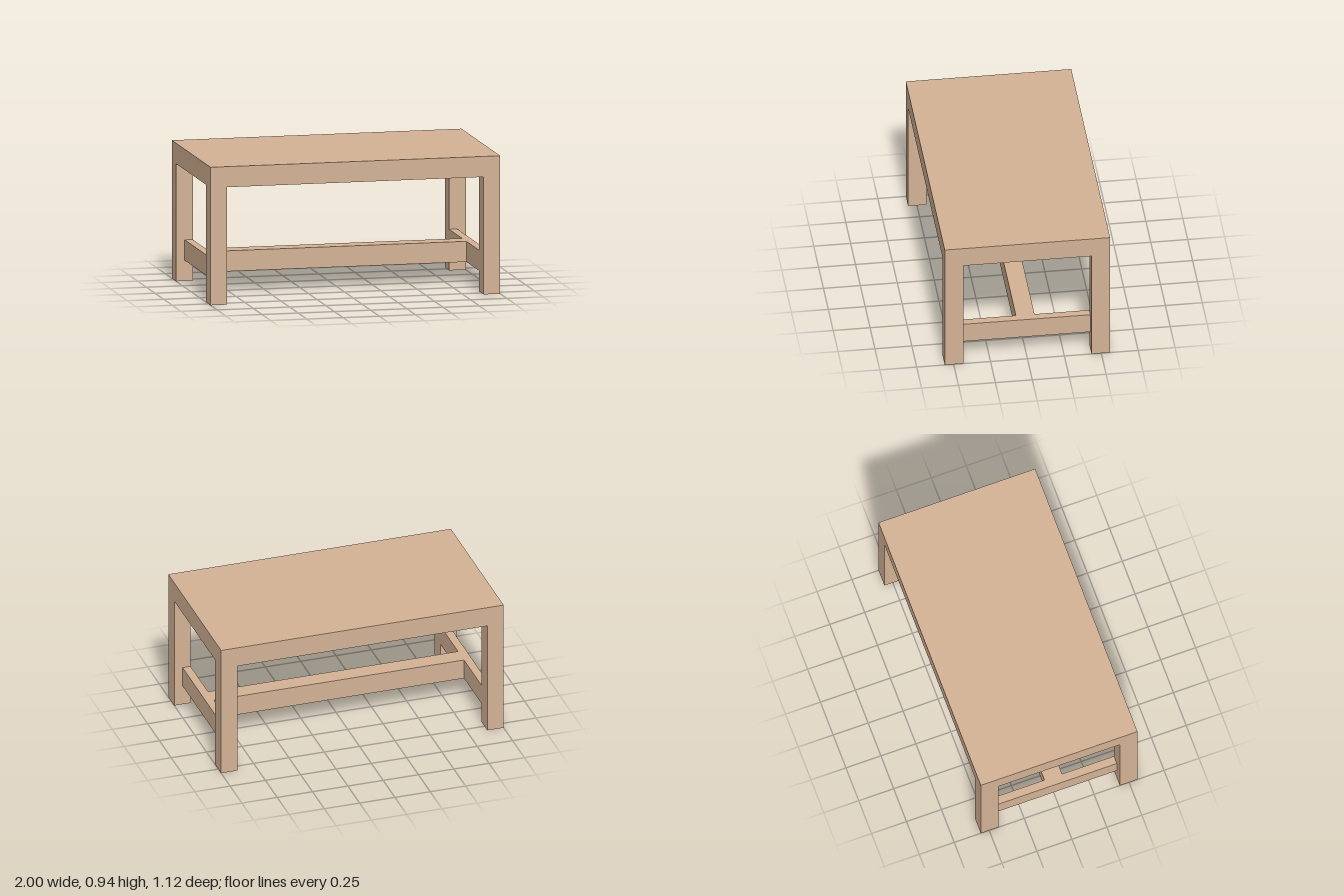
import * as THREE from 'three';

const WIDTH = 2, DEPTH = 1.12;
const TOP_BOTTOM = 0.8, TOP_HEIGHT = 0.14;
const LEG_X = 0.115, LEG_Z = 0.126;
const RAIL_BOTTOM = 0.14, RAIL_HEIGHT = 0.14, RAIL_THICK = 0.056;

export function createModel() {
  const table = new THREE.Group();
  table.name = 'table';
  const wood = new THREE.MeshStandardMaterial({ color: 0xd3b295 });

  // Box placed by its centre in x and z and by its underside in y
  const addBox = (name, [w, h, d], [x, bottom, z]) => {
    const mesh = new THREE.Mesh(new THREE.BoxGeometry(w, h, d), wood);
    mesh.name = name;
    mesh.position.set(x, bottom + h / 2, z);
    table.add(mesh);
  };

  // Thick solid top, flush with the outer faces of the legs
  addBox('tableTop', [WIDTH, TOP_HEIGHT, DEPTH], [0, TOP_BOTTOM, 0]);

  const innerX = WIDTH / 2 - LEG_X;
  for (const [side, sx] of [['Left', 1], ['Right', -1]]) {
    // Corner legs
    for (const [end, sz] of [['front', 1], ['back', -1]]) {
      addBox(`${end}${side}Leg`, [LEG_X, TOP_BOTTOM, LEG_Z],
        [sx * (WIDTH - LEG_X) / 2, 0, sz * (DEPTH - LEG_Z) / 2]);
    }
    // Side stretcher, flush with the inner faces of its legs
    addBox(`side${side}Stretcher`, [RAIL_THICK, RAIL_HEIGHT, DEPTH - 2 * LEG_Z],
      [sx * (innerX + RAIL_THICK / 2), RAIL_BOTTOM, 0]);
  }

  // Long centre stretcher joining the two side stretchers
  addBox('centreStretcher', [2 * innerX, RAIL_HEIGHT, LEG_Z], [0, RAIL_BOTTOM, 0]);

  return table;
}
